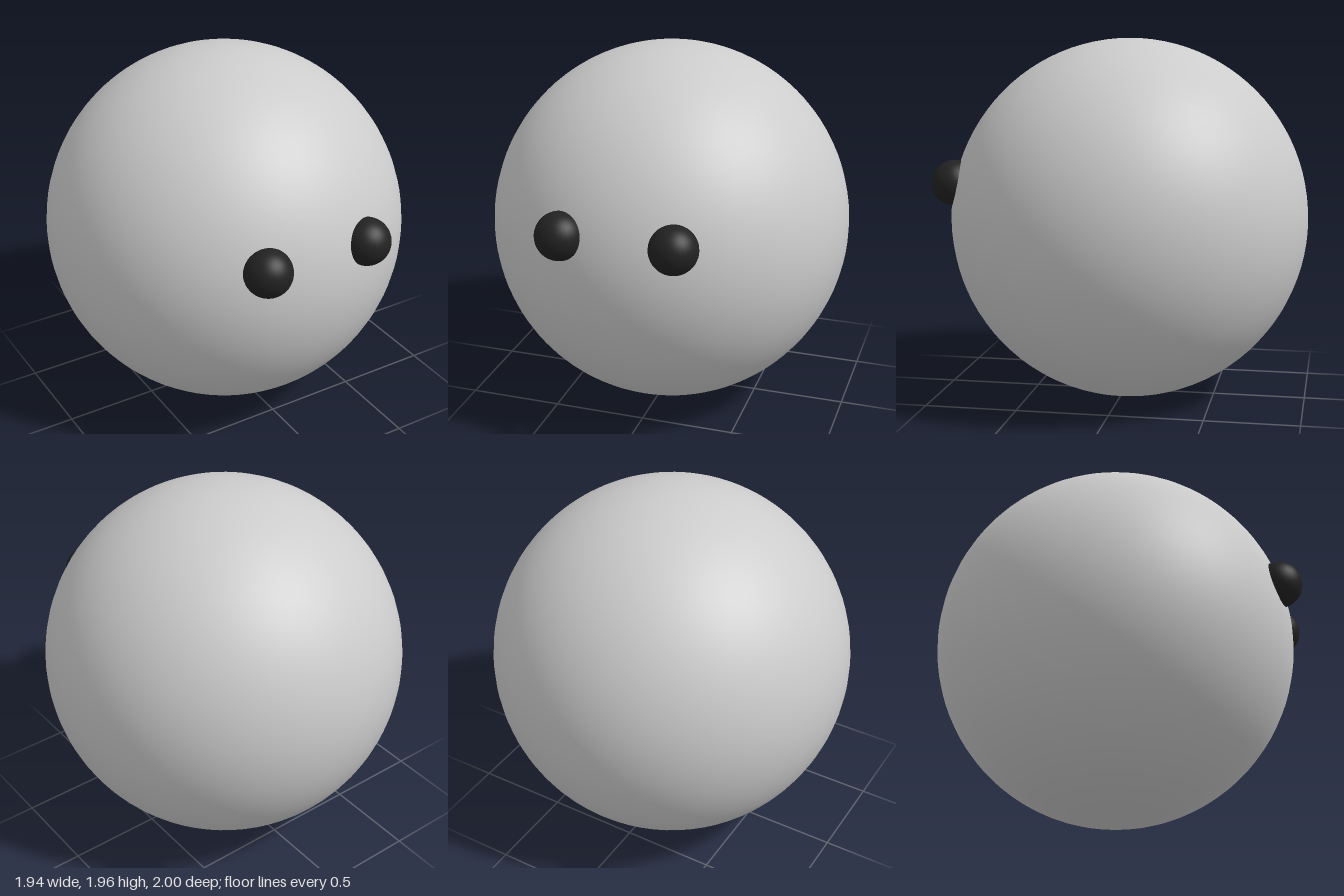
import * as THREE from 'three';

export function createModel() {
  const model = new THREE.Group();
  model.name = 'roundCreature';

  const bodyGrey = new THREE.MeshStandardMaterial({ color: 0xcccccc });
  bodyGrey.name = 'bodyGrey';
  const eyeBlack = new THREE.MeshStandardMaterial({ color: 0x222222 });
  eyeBlack.name = 'eyeBlack';

  // Smooth ball body, very slightly taller than wide
  const body = new THREE.Mesh(new THREE.SphereGeometry(1, 64, 48), bodyGrey);
  body.name = 'body';
  body.scale.set(0.971, 0.978, 0.973);
  body.position.set(0, 0.978, -0.027);
  model.add(body);

  // Mirrored bead eyes, half sunk into the front of the body
  const eyeGeometry = new THREE.SphereGeometry(0.124, 32, 24);
  for (const [name, side] of [['leftEye', 1], ['rightEye', -1]]) {
    const eye = new THREE.Mesh(eyeGeometry, eyeBlack);
    eye.name = name;
    eye.position.set(side * 0.294, 1.185, 0.876);
    model.add(eye);
  }

  return model;
}
